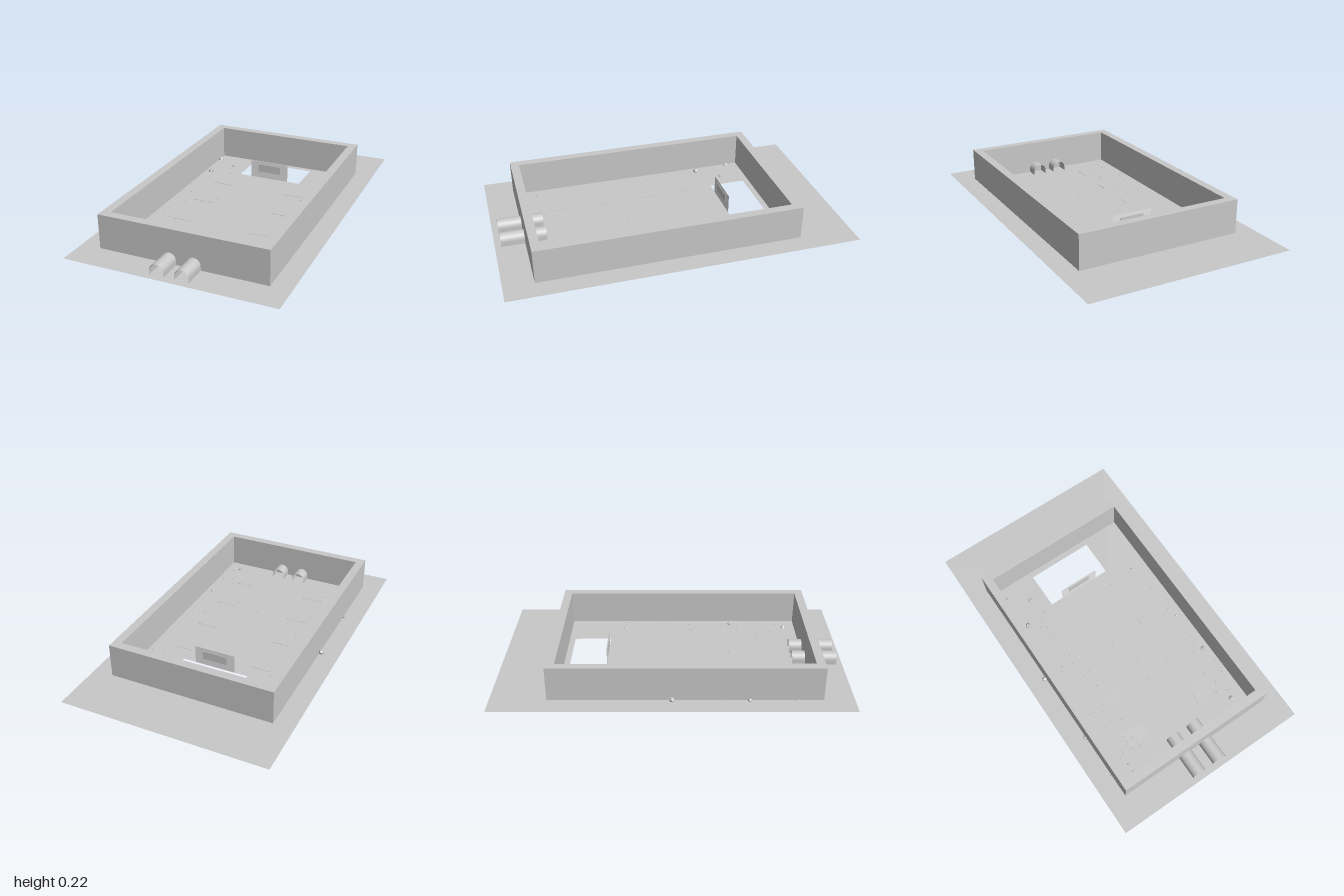
import * as THREE from 'three';

const FLOOR = 0.02;

function rectPath(P, x0, x1, z0, z1) {
  // shape plane: x right, shape y = -z
  const p = new P();
  p.moveTo(x0, -z1);
  p.lineTo(x1, -z1);
  p.lineTo(x1, -z0);
  p.lineTo(x0, -z0);
  p.closePath();
  return p;
}

function seeded(seed) {
  let s = seed;
  return () => (s = (s * 16807) % 2147483647) / 2147483647;
}

export function createModel() {
  const concrete = new THREE.MeshStandardMaterial({ color: 0xc8c8c8 });
  concrete.name = 'concrete grey';
  concrete.side = THREE.DoubleSide;
  const stone = new THREE.MeshStandardMaterial({ color: 0xc4c4c4 });
  stone.name = 'stone grey';
  stone.flatShading = true;
  const white = new THREE.MeshStandardMaterial({ color: 0xffffff });
  white.name = 'board white';
  white.side = THREE.DoubleSide;

  const model = new THREE.Group();
  const add = (name, geometry, material, x = 0, y = 0, z = 0) => {
    const mesh = new THREE.Mesh(geometry, material);
    mesh.name = name;
    mesh.position.set(x, y, z);
    model.add(mesh);
    return mesh;
  };

  // Ground sheet with the open pit
  const ground = rectPath(THREE.Shape, -0.6, 0.6, -1, 1);
  ground.holes.push(rectPath(THREE.Path, -0.2, 0.2, -0.6, -0.38));
  add('ground', new THREE.ShapeGeometry(ground).rotateX(-Math.PI / 2), concrete, 0, FLOOR, 0);

  // Perimeter wall
  const wall = rectPath(THREE.Shape, -0.485, 0.485, -0.685, 0.83);
  wall.holes.push(rectPath(THREE.Path, -0.435, 0.435, -0.635, 0.78));
  add('perimeterWall', new THREE.ExtrudeGeometry(wall, { depth: 0.2, bevelEnabled: false })
    .rotateX(-Math.PI / 2), concrete, 0, FLOOR, 0);

  // Two open arched tunnels through the front wall
  const arch = [[-0.04, 0]];
  const steps = 20;
  for (let i = 0; i <= steps; i++) {
    const a = Math.PI * (1 - i / steps);
    arch.push([0.04 * Math.cos(a), 0.025 + 0.04 * Math.sin(a)]);
  }
  arch.push([0.04, 0]);
  for (const side of [-1, 1]) {
    const geo = new THREE.PlaneGeometry(1, 1, arch.length - 1, 1);
    const pos = geo.attributes.position;
    for (let i = 0; i < pos.count; i++) {
      const [x, y] = arch[i % arch.length];
      pos.setXYZ(i, x, y, i < arch.length ? 0.705 : 0.965);
    }
    geo.computeVertexNormals();
    add(side > 0 ? 'leftTunnel' : 'rightTunnel', geo, concrete, side * 0.07, FLOOR, 0);
  }

  // White board at the edge of the pit, with a grey target plate on both faces
  add('board', new THREE.PlaneGeometry(0.245, 0.11), white, 0, FLOOR + 0.055, -0.38);
  add('boardTarget', new THREE.BoxGeometry(0.145, 0.05, 0.006), concrete, 0, 0.085, -0.38);

  // Flush floor pads in two rows
  for (const side of [-1, 1]) {
    for (const z of [-0.24, 0.035, 0.31, 0.58]) {
      add('floorPad', new THREE.BoxGeometry(0.125, 0.003, 0.1), concrete, side * 0.24, FLOOR, z);
    }
  }

  // Larger rocks: x, y, z, radius
  const rocks = [
    [-0.42, 0.022, -0.56, 0.017], [-0.395, 0.022, -0.345, 0.018], [-0.295, 0.021, -0.48, 0.013],
    [-0.495, 0.028, 0, 0.016], [-0.49, 0.022, 0.425, 0.013], [0.395, 0.017, 0.37, 0.017],
    [0.35, 0.017, 0.71, 0.017], [-0.37, 0.02, 0.695, 0.009], [0.34, 0.018, -0.3, 0.009],
    [-0.485, 0.02, 0.27, 0.007], [0.39, 0.018, 0.11, 0.007], [-0.43, 0.02, 0.57, 0.006],
    [-0.485, 0.02, 0.69, 0.008], [0.37, 0.018, 0.05, 0.006],
  ];
  const rand = seeded(7);
  for (const [x, y, z, r] of rocks) {
    const rock = add('rock', new THREE.DodecahedronGeometry(r), stone, x, y, z);
    rock.rotation.set(rand() * 3, rand() * 3, rand() * 3);
    rock.scale.y = 0.85;
  }

  // Scattered pebbles along both sides and a few in the middle
  const pebble = new THREE.IcosahedronGeometry(0.004, 0);
  const scatter = (count, x0, x1, z0, z1) => {
    for (let i = 0; i < count; i++) {
      const x = x0 + (x1 - x0) * rand();
      const z = z0 + (z1 - z0) * rand();
      add('pebble', pebble, stone, x, FLOOR, z).scale.setScalar(0.6 + 0.6 * rand());
    }
  };
  scatter(55, -0.43, -0.24, -0.5, 0.76);
  scatter(38, 0.28, 0.42, -0.38, 0.72);
  scatter(12, -0.04, 0.03, -0.25, 0.6);

  return model;
}
